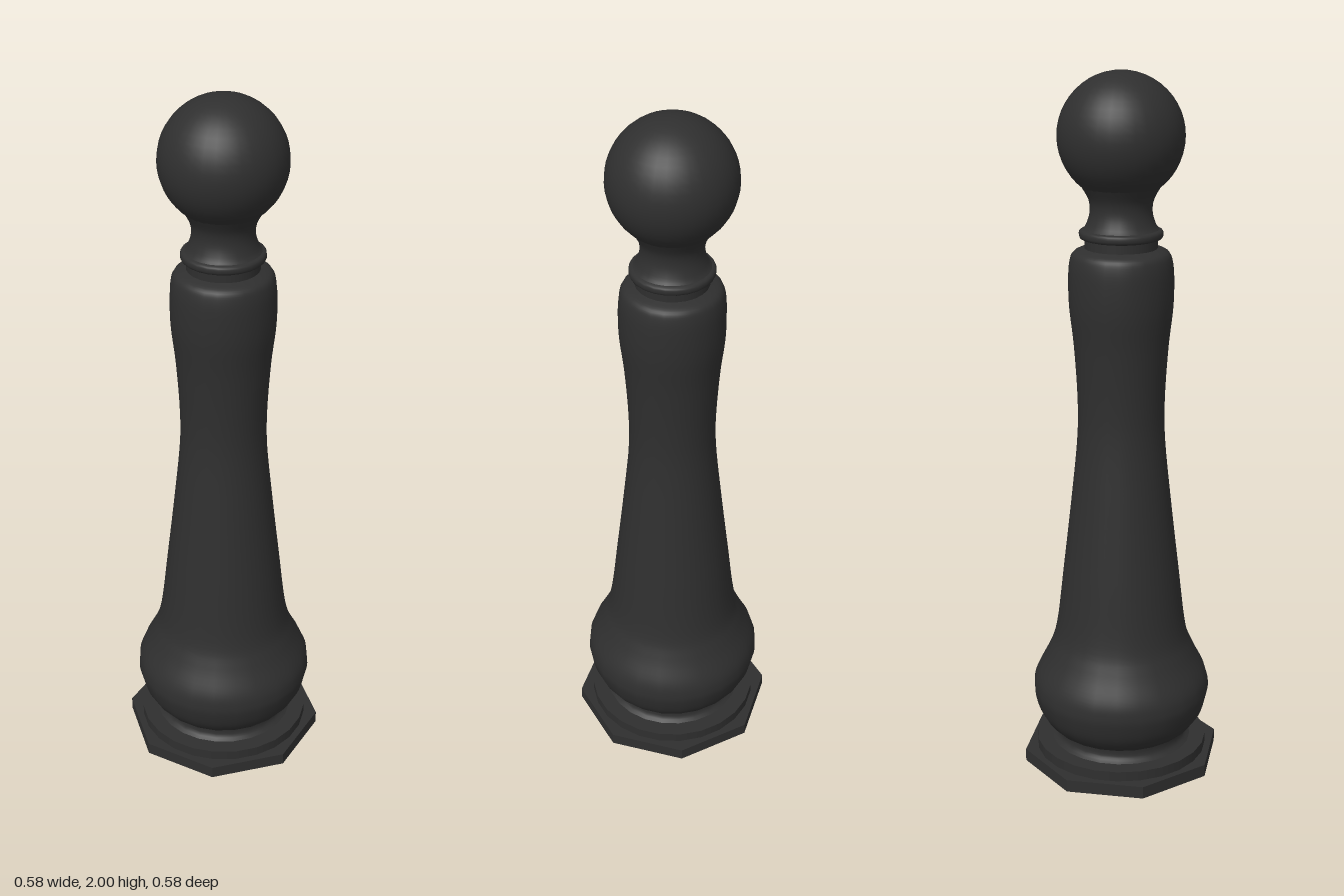
import * as THREE from 'three';

export function createModel() {
  const group = new THREE.Group();
  const iron = new THREE.MeshStandardMaterial({ color: 0x2f2f2f });
  iron.name = 'dark iron';

  const add = (name, geometry, y = 0) => {
    const mesh = new THREE.Mesh(geometry, iron);
    mesh.name = name;
    mesh.position.y = y;
    group.add(mesh);
  };
  // Smooth turned part through [radius, height] points
  const turned = (name, points, steps) => {
    const curve = new THREE.SplineCurve(points.map(([r, y]) => new THREE.Vector2(r, y)));
    add(name, new THREE.LatheGeometry(curve.getPoints(steps), 24));
  };

  // Octagonal plinth, corners on the axes
  const plinth = new THREE.CylinderGeometry(0.288, 0.288, 0.036, 8).toNonIndexed();
  plinth.computeVertexNormals();
  add('plinth', plinth, 0.018);

  // Round step and foot moulding
  add('plinthStep', new THREE.CylinderGeometry(0.249, 0.249, 0.03, 24), 0.05);
  turned('footMoulding', [[0.205, 0.064], [0.192, 0.075], [0.188, 0.09], [0.19, 0.11]], 8);

  // Bulbous base flowing into the tapering shaft
  turned('shaft', [
    [0.175, 0.096], [0.205, 0.11], [0.236, 0.15], [0.253, 0.2], [0.256, 0.235],
    [0.247, 0.275], [0.212, 0.345], [0.187, 0.42], [0.165, 0.6], [0.142, 0.8],
    [0.124, 0.98], [0.122, 1.1], [0.131, 1.25], [0.143, 1.36], [0.145, 1.44],
    [0.141, 1.49], [0.13, 1.516], [0.1, 1.528],
  ], 85);

  // Collar with a raised ring
  add('collar', new THREE.CylinderGeometry(0.1, 0.1, 0.06, 24), 1.545);
  turned('collarRing', [[0.1, 1.552], [0.112, 1.556], [0.115, 1.566], [0.112, 1.576], [0.098, 1.581]], 10);

  // Flared neck under the ball
  turned('neck', [[0.105, 1.578], [0.096, 1.59], [0.087, 1.615], [0.085, 1.64], [0.091, 1.665], [0.11, 1.698]], 16);

  // Ball finial
  add('ballFinial', new THREE.SphereGeometry(0.172, 32, 24), 1.828);

  return group;
}
